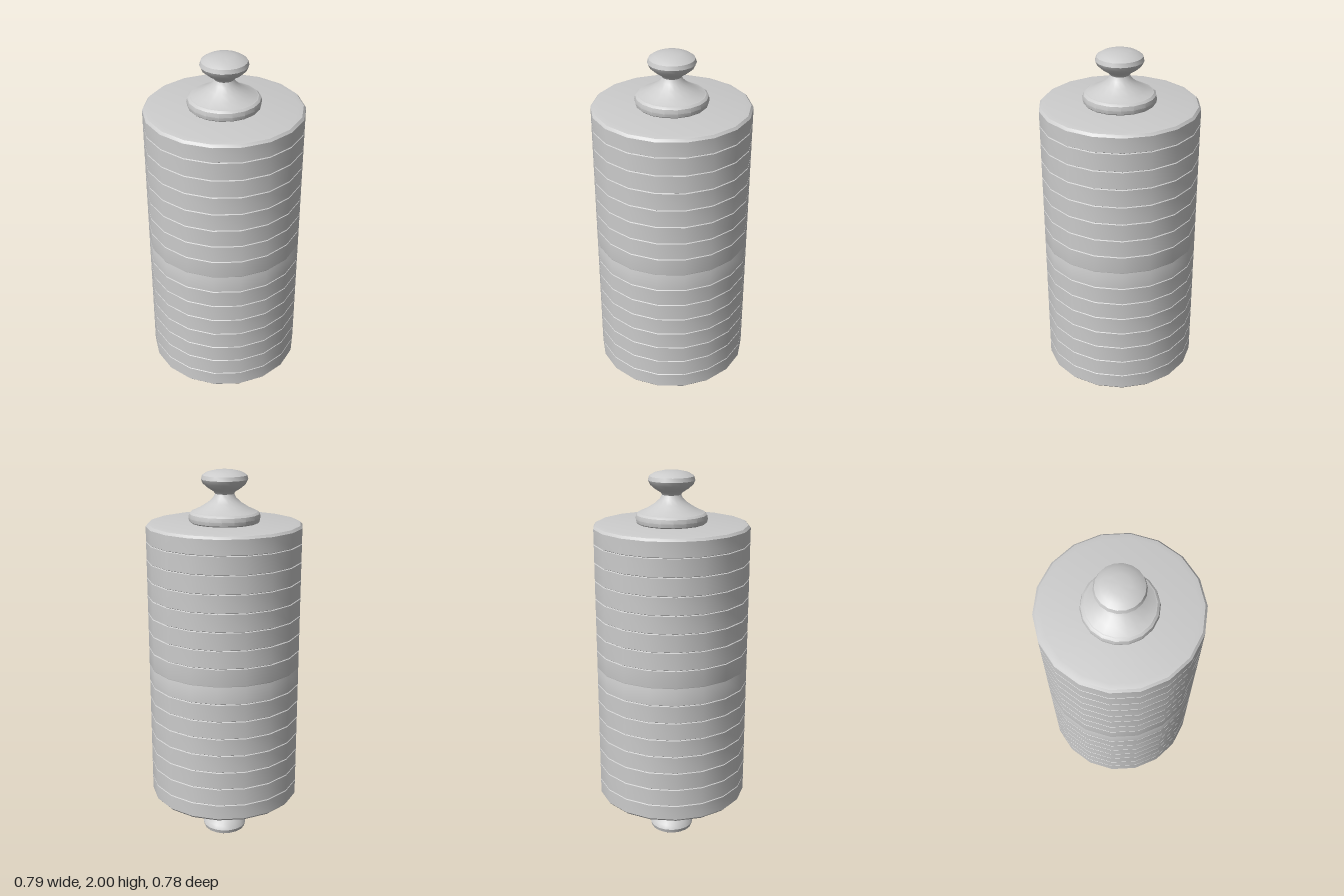
import * as THREE from 'three';
import { toCreasedNormals } from 'three/addons/utils/BufferGeometryUtils.js';

const SIDES = 18;
const material = new THREE.MeshStandardMaterial({ color: 0xcccccc });

// Turned part from [radius, y] pairs listed bottom to top, with a corner on +x
function turned(name, profile) {
  const points = profile.map(([r, y]) => new THREE.Vector2(r, y));
  const lathe = new THREE.LatheGeometry(points, SIDES, Math.PI / 2);
  const mesh = new THREE.Mesh(toCreasedNormals(lathe, 0.5), material);
  mesh.name = name;
  return mesh;
}

// Reflects a profile about mid height, keeping the bottom-to-top order
const flip = (profile) => profile.map(([r, y]) => [r, 2 - y]).reverse();

export function createModel() {
  const group = new THREE.Group();
  group.name = 'ribbedRoller';

  // Body: bevelled drum with evenly spaced thin grooves
  const R = 0.396, rim = [[R, 1.725], [0.385, 1.737], [0.36, 1.742], [0, 1.742]];
  const body = flip(rim);
  const pitch = 0.0925;
  for (let k = -7; k <= 7; k++) {
    const y = 1 + k * pitch;
    const depth = k === 0 ? 0.001 : 0.005; // the middle seam is barely cut
    body.push([R, y - 0.003], [R - depth, y], [R, y + 0.003]);
  }
  body.push(...rim);
  group.add(turned('drum', body));

  // Finials: round collar, flared neck and flattened knob at each end
  const collar = [
    [0.165, 1.735], [0.178, 1.747], [0.182, 1.765], [0.178, 1.785], [0.167, 1.795],
  ];
  const neckAndKnob = [
    [0.162, 1.796], [0.125, 1.813], [0.085, 1.838], [0.058, 1.862], [0.048, 1.882],
    [0.055, 1.893], [0.085, 1.912], [0.108, 1.932], [0.118, 1.953], [0.112, 1.973],
    [0.088, 1.988], [0.05, 1.997], [0, 2],
  ];
  const finial = [...collar, ...neckAndKnob];
  group.add(turned('topFinial', finial));
  group.add(turned('bottomFinial', flip(finial)));

  return group;
}
